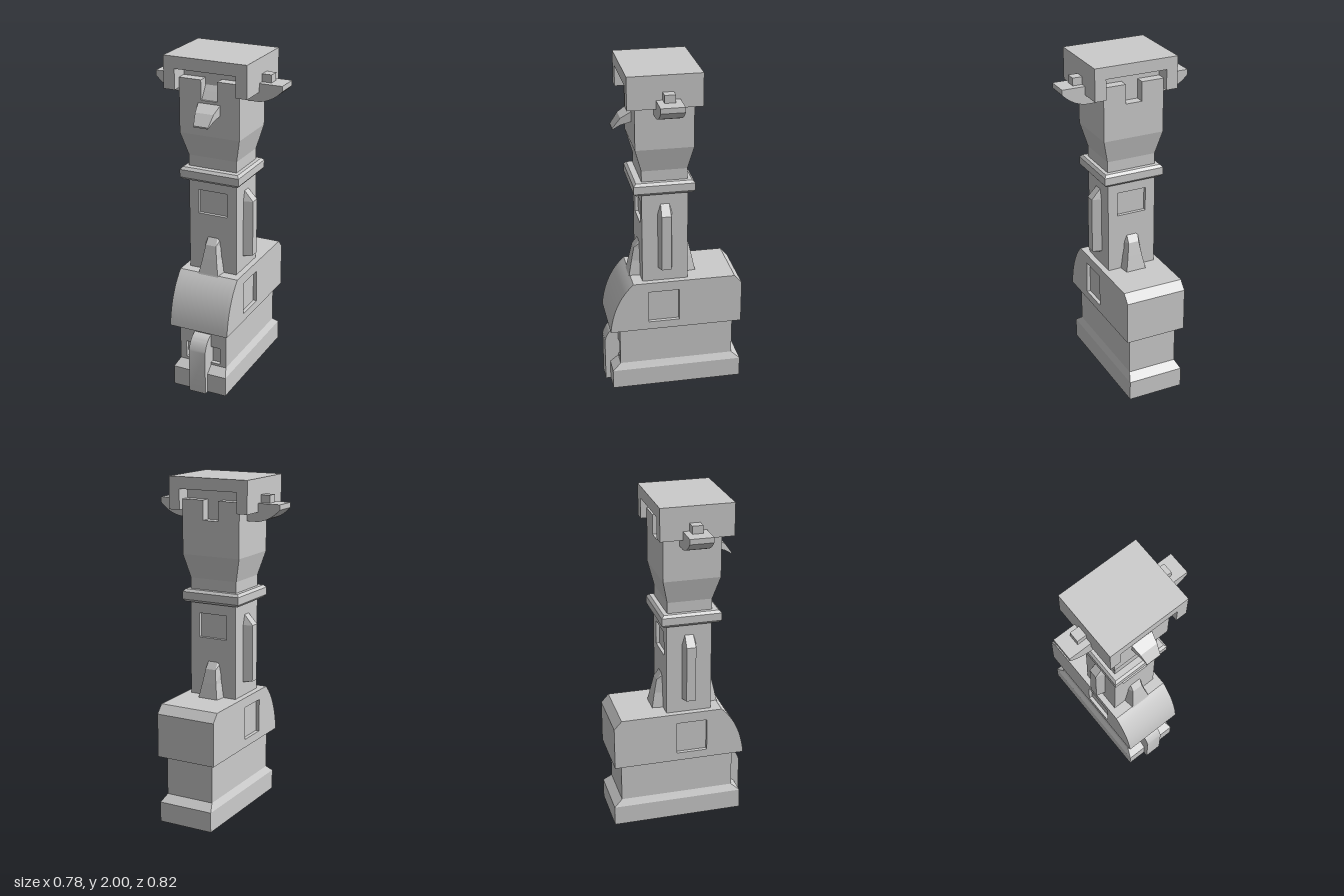
import * as THREE from 'three';
import { toCreasedNormals } from 'three/addons/utils/BufferGeometryUtils.js';

const grey = new THREE.MeshStandardMaterial({ color: 0xcccccc });
const MID = 0.055; // z of the column axis

function add(parent, name, geometry) {
  const mesh = new THREE.Mesh(geometry, grey);
  mesh.name = name;
  parent.add(mesh);
  return mesh;
}

// Skin a series of equal-sized loops, counter-clockwise seen from the far end
function loft(loops) {
  const pos = [];
  const tri = (...p) => p.forEach((v) => pos.push(...v));
  const n = loops[0].length;
  for (let s = 0; s < loops.length - 1; s++) {
    for (let i = 0; i < n; i++) {
      const j = (i + 1) % n, a = loops[s], b = loops[s + 1];
      tri(a[i], a[j], b[j]);
      tri(a[i], b[j], b[i]);
    }
  }
  const first = loops[0], last = loops[loops.length - 1];
  for (let i = 1; i < n - 1; i++) {
    tri(first[0], first[i + 1], first[i]);
    tri(last[0], last[i], last[i + 1]);
  }
  const g = new THREE.BufferGeometry();
  g.setAttribute('position', new THREE.Float32BufferAttribute(pos, 3));
  g.computeVertexNormals();
  return g;
}

// Level rectangle: height, half width, front z, back z
const rect = ([y, w, f, b]) => [[-w, y, f], [w, y, f], [w, y, b], [-w, y, b]];
// Fin section: height, half width at root, half width at face, face z
const finLoop = ([y, r, w, z]) => [[-r, y, 0.12], [-w, y, z], [w, y, z], [r, y, 0.12]];
// Upright section for the spout: z, half width, top, bottom
const spoutLoop = ([z, w, t, b]) => [[-w, b, z], [w, b, z], [w, t, z], [-w, t, z]];

const polygon = (pts) => new THREE.Shape(pts.map(([x, y]) => new THREE.Vector2(x, y)));
const box = (x0, x1, y0, y1, z0, z1) =>
  new THREE.BoxGeometry(x1 - x0, y1 - y0, z1 - z0).translate((x0 + x1) / 2, (y0 + y1) / 2, (z0 + z1) / 2);
const rectPoints = (x0, x1, y0, y1) => [[x0, y0], [x1, y0], [x1, y1], [x0, y1]];

function extrude(shape, z0, z1) {
  const g = new THREE.ExtrudeGeometry(shape, { depth: z1 - z0, bevelEnabled: false, curveSegments: 12 });
  return toCreasedNormals(g.translate(0, 0, z0), 0.5);
}

// Slab with a rectangular window through it
function windowSlab(outline, hole, z0, z1) {
  outline.holes.push(new THREE.Path(rectPoints(...hole).reverse().map(([x, y]) => new THREE.Vector2(x, y))));
  return extrude(outline, z0, z1);
}

// Hood side profile, drawn with z along the shape's x axis
function hoodProfile() {
  const s = new THREE.Shape();
  s.moveTo(-0.405, 0.4);
  s.lineTo(0.39, 0.4);
  s.quadraticCurveTo(0.37, 0.6, 0.25, 0.71);
  s.lineTo(-0.36, 0.71);
  s.lineTo(-0.405, 0.66);
  s.closePath();
  return s;
}

export function createModel() {
  const model = new THREE.Group();
  model.name = 'tower';

  // Base with sloped foot, front window and rounded front rib
  const base = new THREE.Group();
  base.name = 'base';
  model.add(base);
  add(base, 'foot', loft([
    [0, 0.17, 0.38, -0.41], [0.12, 0.17, 0.38, -0.41], [0.16, 0.15, 0.33, -0.36],
    [0.16, 0.15, 0.305, -0.36], [0.41, 0.15, 0.305, -0.36],
  ].map(rect)));
  add(base, 'baseFront', windowSlab(polygon(rectPoints(-0.15, 0.15, 0.16, 0.41)), [-0.11, 0.11, 0.175, 0.28], 0.305, 0.33));
  const rib = new THREE.Shape();
  rib.moveTo(0.3, 0);
  rib.lineTo(0.41, 0);
  rib.lineTo(0.41, 0.27);
  rib.quadraticCurveTo(0.39, 0.345, 0.33, 0.36);
  rib.lineTo(0.3, 0.36);
  add(base, 'frontRib', extrude(rib, -0.053, 0.053).rotateY(-Math.PI / 2));

  // Hood: solid middle with windowed cheeks
  const hood = new THREE.Group();
  hood.name = 'hood';
  model.add(hood);
  add(hood, 'hoodCore', extrude(hoodProfile(), -0.163, 0.163).rotateY(-Math.PI / 2));
  for (const [z0, z1] of [[-0.185, -0.163], [0.163, 0.185]]) {
    add(hood, 'hoodCheek', windowSlab(hoodProfile(), [-0.025, 0.16, 0.45, 0.65], z0, z1).rotateY(-Math.PI / 2));
  }

  // Column, centred on its own axis
  const column = new THREE.Group();
  column.name = 'column';
  column.position.z = MID;
  model.add(column);
  add(column, 'columnCore', box(-0.15, 0.15, 0.69, 1.28, -0.115, 0.115));
  const footFin = loft([
    [0.66, 0.078, 0.072, 0.215], [0.71, 0.072, 0.062, 0.2], [0.8, 0.06, 0.045, 0.182],
    [0.88, 0.053, 0.033, 0.165], [0.92, 0.048, 0.03, 0.135],
  ].map(finLoop));
  const sideFin = loft([
    [0.79, 0.048, 0.03, 0.15], [0.8, 0.05, 0.028, 0.205], [1.14, 0.05, 0.028, 0.205], [1.2, 0.035, 0.025, 0.15],
  ].map(finLoop));
  for (const turn of [0, Math.PI]) {
    add(column, 'columnFace', windowSlab(polygon(rectPoints(-0.15, 0.15, 0.69, 1.28)),
      [-0.09, 0.09, 1.06, 1.205], 0.115, 0.135)).rotation.y = turn;
    add(column, 'footFin', footFin).rotation.y = turn;
    add(column, 'sideFin', sideFin).rotation.y = turn + Math.PI / 2;
  }

  // Collar with slightly bevelled rims
  add(model, 'collar', loft([
    [1.27, 0.172, 0.225, -0.1], [1.285, 0.185, 0.24, -0.115],
    [1.33, 0.185, 0.24, -0.115], [1.345, 0.172, 0.225, -0.1],
  ].map(rect)));

  // Flared neck, with posts either side of a slot front and back
  const neck = new THREE.Group();
  neck.name = 'neck';
  model.add(neck);
  add(neck, 'neckBody', loft([
    [1.34, 0.15, 0.19, -0.075], [1.41, 0.15, 0.19, -0.075],
    [1.55, 0.185, 0.23, -0.107], [1.755, 0.185, 0.23, -0.107],
  ].map(rect)));
  add(neck, 'neckCore', box(-0.185, 0.185, 1.755, 1.93, -0.05, 0.17));
  for (const x of [-0.1175, 0.1175]) {
    add(neck, 'neckPost', box(x - 0.0675, x + 0.0675, 1.755, 1.87, -0.107, 0.23));
  }

  // Spout curling out of the front slot
  add(model, 'spout', loft([
    [0.15, 0.05, 1.86, 1.7], [0.19, 0.05, 1.8, 1.7], [0.228, 0.068, 1.74, 1.68],
    [0.29, 0.056, 1.7, 1.66], [0.335, 0.045, 1.638, 1.63],
  ].map(spoutLoop)));

  // Cap, notched from front to back over the neck
  const cap = new THREE.Group();
  cap.name = 'cap';
  model.add(cap);
  add(cap, 'capBlock', extrude(polygon([
    [-0.253, 1.81], [-0.185, 1.81], [-0.185, 1.93], [0.185, 1.93],
    [0.185, 1.81], [0.253, 1.81], [0.253, 2], [-0.253, 2],
  ]), -0.142, 0.283));

  // Side wings with a small block on each
  const wingShape = new THREE.Shape();
  wingShape.moveTo(0.18, 1.755);
  wingShape.lineTo(0.25, 1.755);
  wingShape.quadraticCurveTo(0.33, 1.765, 0.39, 1.83);
  wingShape.lineTo(0.39, 1.86);
  wingShape.lineTo(0.18, 1.86);
  for (const turn of [0, Math.PI]) {
    const wing = new THREE.Group();
    wing.name = turn ? 'rightWing' : 'leftWing';
    wing.position.z = MID;
    wing.rotation.y = turn;
    cap.add(wing);
    add(wing, 'wingPlate', extrude(wingShape, -0.068, 0.068));
    add(wing, 'wingBlock', box(0.24, 0.31, 1.855, 1.905, -0.031, 0.031));
  }
  return model;
}
